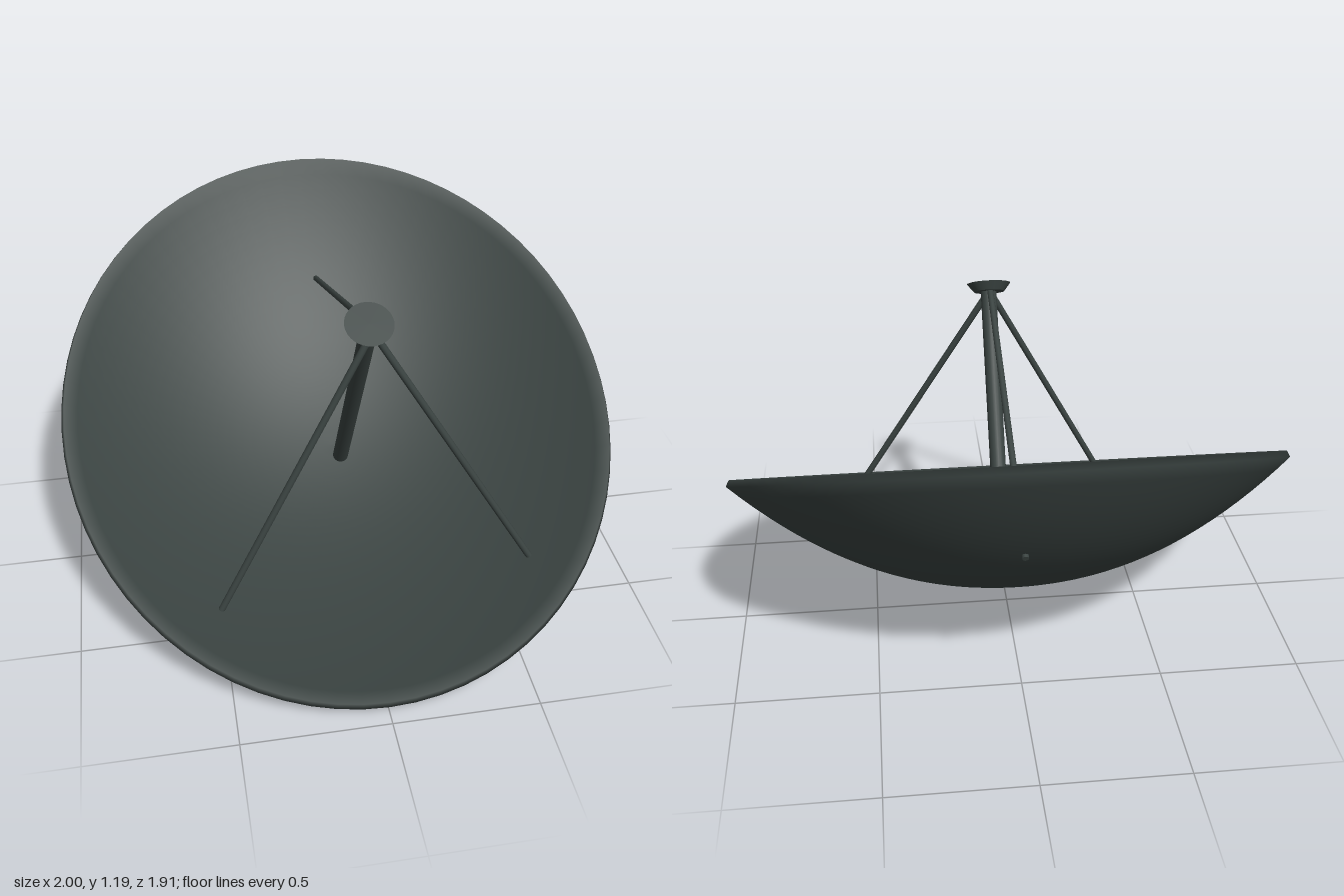
import * as THREE from 'three';

const material = new THREE.MeshStandardMaterial({ color: 0x3a4341 });
const TILT = Math.PI / 6;

function add(group, name, geometry) {
  const mesh = new THREE.Mesh(geometry, material);
  mesh.name = name;
  group.add(mesh);
  return mesh;
}

// Round bar between two points
function bar(group, name, from, to, radius, sides = 12) {
  const a = new THREE.Vector3(...from);
  const b = new THREE.Vector3(...to);
  const dir = b.clone().sub(a);
  const mesh = add(group, name, new THREE.CylinderGeometry(radius, radius, dir.length(), sides));
  mesh.position.copy(a).add(b).multiplyScalar(0.5);
  mesh.quaternion.setFromUnitVectors(new THREE.Vector3(0, 1, 0), dir.normalize());
}

export function createModel() {
  const model = new THREE.Group();
  model.name = 'satelliteDish';

  // Reflector: closed shell, convex back, narrow rim, concave bowl
  const STEPS = 22;
  const profile = [];
  for (let i = 0; i <= STEPS; i++) {
    const r = i / STEPS;
    profile.push(new THREE.Vector2(r, -0.022 - 0.415 * (1 - Math.pow(r, 2.15))));
  }
  for (let i = STEPS; i >= 0; i--) {
    const r = i / STEPS;
    profile.push(new THREE.Vector2(r * 0.99, -0.38 * (1 - r * r)));
  }
  const dish = add(model, 'reflector', new THREE.LatheGeometry(profile, 72));
  dish.scale.set(1, 1, 1.104); // slightly oval, longer up the slope
  dish.rotation.x = TILT;
  dish.position.set(0, 0.595, 0.009);

  // Central mast along the dish axis
  bar(model, 'mast', [0.026, 0.23, -0.147], [0.026, 1.135, 0.388], 0.029, 20);

  // Three thin support struts
  bar(model, 'rearStrut', [0.022, 1.14, 0.36], [0.022, 0.704, -0.755], 0.011);
  bar(model, 'rightStrut', [0.02, 1.115, 0.42], [-0.515, 0.12, 0.527], 0.012);
  bar(model, 'leftStrut', [0.035, 1.115, 0.373], [0.615, 0.16, 0.488], 0.012);

  // Feed head: flat disc tapering to the mast
  const head = add(model, 'feedHead', new THREE.CylinderGeometry(0.08, 0.056, 0.03, 32));
  head.rotation.x = TILT;
  head.position.set(0.024, 1.138, 0.388);

  return model;
}
